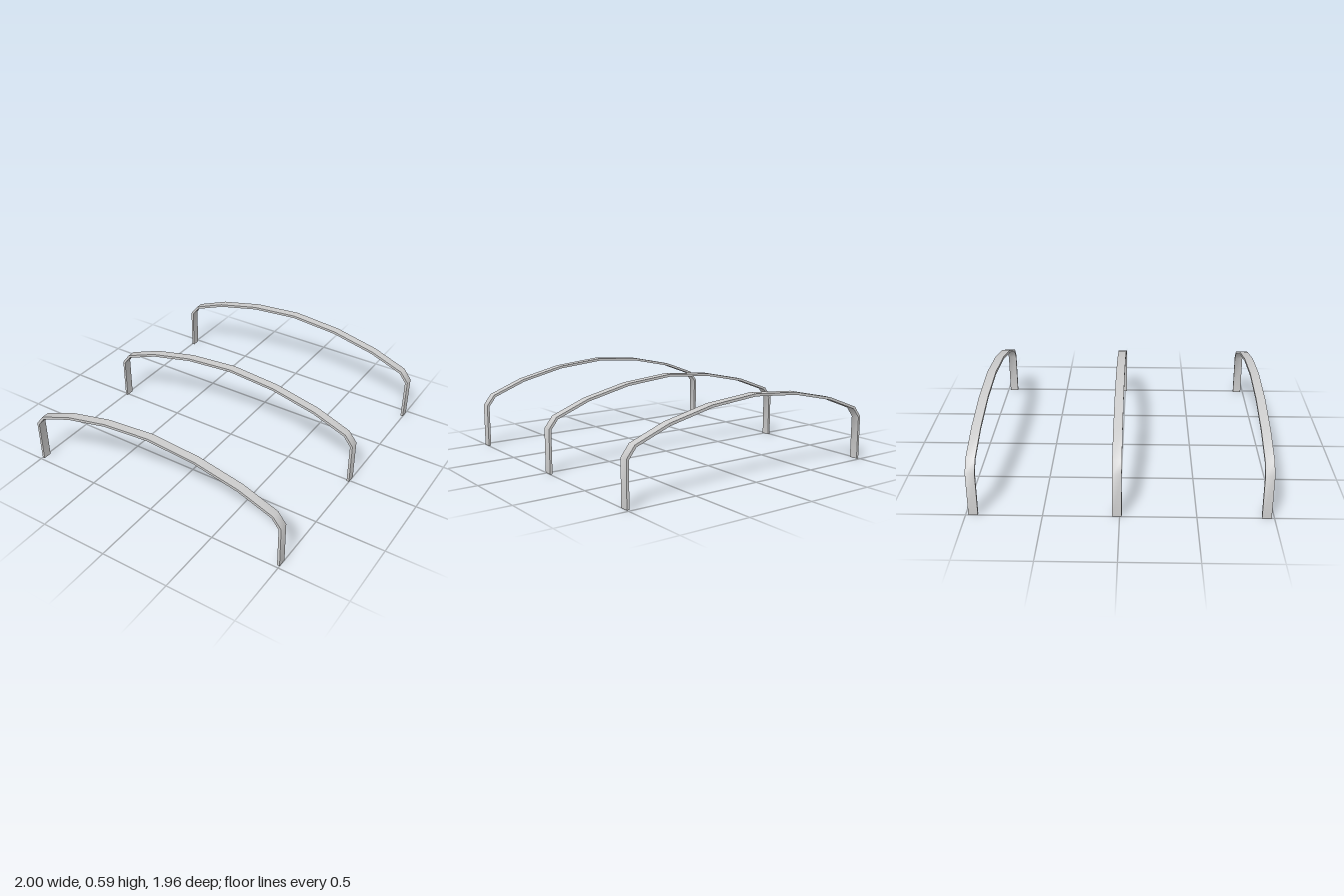
import * as THREE from 'three';
import { toCreasedNormals } from 'three/addons/utils/BufferGeometryUtils.js';

// Right half of the hoop, from foot to crown, as [x, y]
const OUTER = [[1, 0], [1, 0.31], [0.94, 0.387], [0.69, 0.483], [0.36, 0.556], [0, 0.586]];
const INNER = [[0.982, 0], [0.982, 0.304], [0.929, 0.372], [0.685, 0.465], [0.358, 0.538], [0, 0.568]];
const STRAP_WIDTH = 0.062;

// Mirror a half profile into a full arch running from +x to -x
function fullArch(half) {
  const mirrored = half.slice(0, -1).reverse().map(([x, y]) => [-x, y]);
  return [...half, ...mirrored].map(([x, y]) => new THREE.Vector2(x, y));
}

// Flat strap bent into an arch, smooth along its length with sharp edges
function hoopGeometry() {
  const shape = new THREE.Shape([...fullArch(OUTER), ...fullArch(INNER).reverse()]);
  const geometry = new THREE.ExtrudeGeometry(shape, { depth: STRAP_WIDTH, bevelEnabled: false });
  geometry.translate(0, 0, -STRAP_WIDTH / 2);
  return toCreasedNormals(geometry, THREE.MathUtils.degToRad(50));
}

export function createModel() {
  const group = new THREE.Group();
  group.name = 'archedHoops';
  const metal = new THREE.MeshStandardMaterial({ color: 0xcccccc });
  metal.name = 'lightGreyMetal';
  const geometry = hoopGeometry();

  // Three identical hoops in a row
  const hoops = { frontHoop: 0.951, middleHoop: -0.017, backHoop: -0.951 };
  for (const [name, z] of Object.entries(hoops)) {
    const hoop = new THREE.Mesh(geometry, metal);
    hoop.name = name;
    hoop.position.z = z;
    group.add(hoop);
  }
  return group;
}
